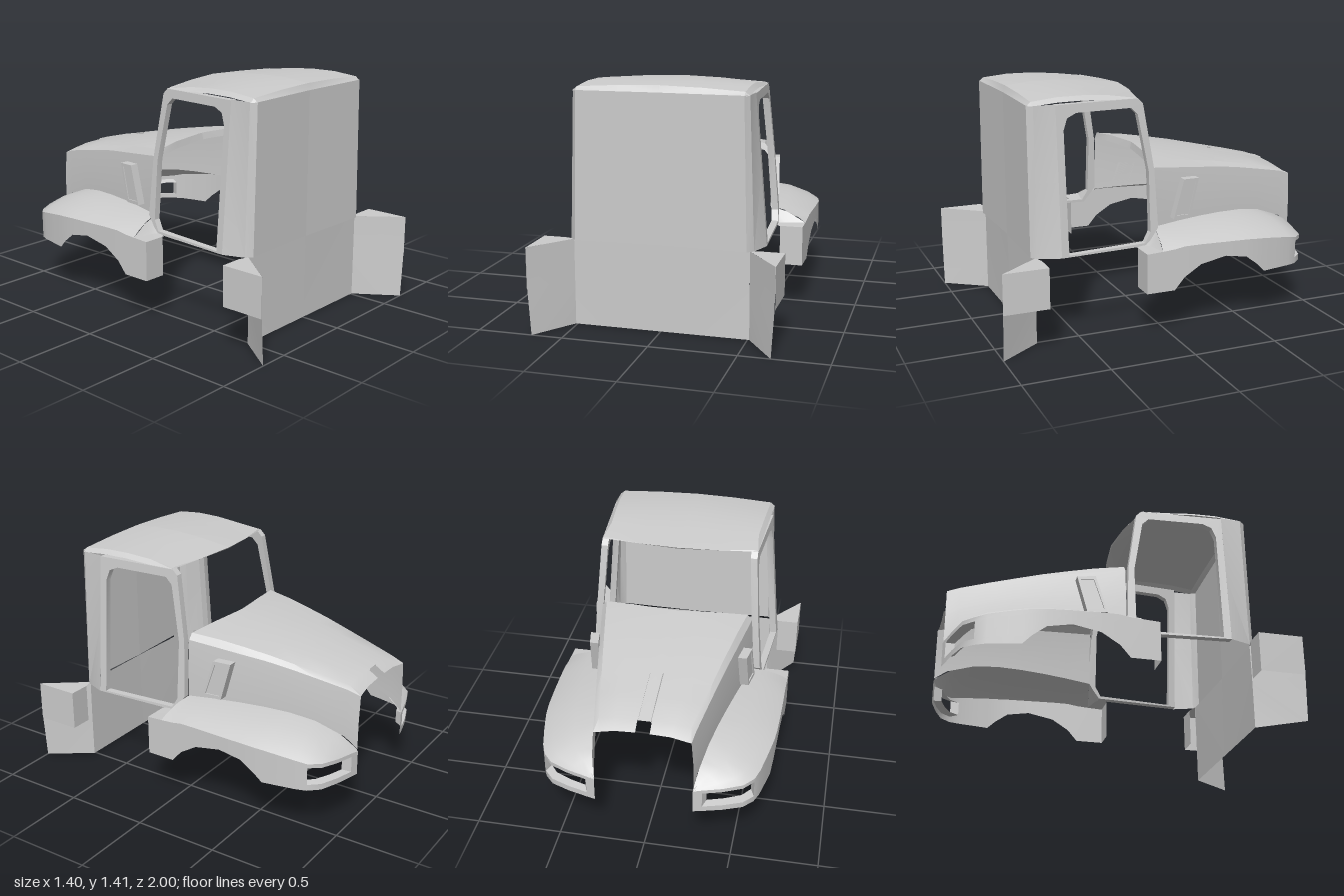
import * as THREE from 'three';
import { toCreasedNormals } from 'three/addons/utils/BufferGeometryUtils.js';

const material = new THREE.MeshStandardMaterial({ color: 0xcccccc, side: THREE.DoubleSide });

// Skin a grid of [x, y, z] rows; skip(i, j) leaves a quad open
function loft(rows, skip = () => false) {
  const pos = [];
  for (let i = 0; i < rows.length - 1; i++) {
    for (let j = 0; j < rows[i].length - 1; j++) {
      if (skip(i, j)) continue;
      const a = rows[i][j], b = rows[i][j + 1], c = rows[i + 1][j + 1], d = rows[i + 1][j];
      pos.push(...a, ...b, ...c, ...a, ...c, ...d);
    }
  }
  const geo = new THREE.BufferGeometry();
  geo.setAttribute('position', new THREE.Float32BufferAttribute(pos, 3));
  geo.computeVertexNormals();
  return toCreasedNormals(geo, 0.5);
}

// Extrude a (z, y) outline, then bend it onto a side surface xAt(z, y)
function sidePanel(outline, hole, depth, xAt) {
  const shape = new THREE.Shape(outline.map(([z, y]) => new THREE.Vector2(z, y)));
  if (hole) shape.holes.push(new THREE.Path(hole.map(([z, y]) => new THREE.Vector2(z, y))));
  const geo = new THREE.ExtrudeGeometry(shape, { depth: Math.abs(depth), bevelEnabled: false });
  const p = geo.attributes.position;
  for (let i = 0; i < p.count; i++) {
    const z = p.getX(i), y = p.getY(i), d = p.getZ(i) * Math.sign(depth);
    p.setXYZ(i, xAt(z, y) + d, y, z);
  }
  geo.computeVertexNormals();
  return toCreasedNormals(geo, 0.5);
}

// Read a value from a table whose keys fall
function table(keys, values, k) {
  if (k >= keys[0]) return values[0];
  for (let i = 1; i < keys.length; i++) {
    if (k >= keys[i]) return THREE.MathUtils.mapLinear(k, keys[i - 1], keys[i], values[i - 1], values[i]);
  }
  return values[values.length - 1];
}

const hoodZ = [0.02, -0.15, -0.3, -0.45, -0.6, -0.75, -0.92, -0.985];
const hoodTop = [0.995, 0.98, 0.958, 0.933, 0.902, 0.87, 0.83, 0.79];
const hoodBevel = [0.94, 0.92, 0.902, 0.885, 0.86, 0.83, 0.795, 0.77];
const hoodFoot = [0.59, 0.6, 0.605, 0.605, 0.598, 0.575, 0.51, 0.45];
const hoodX = (z) => 0.47 + 0.19 * z;
const cabX = (z, y) => 0.575 - 0.07 * (y - 0.5) / 0.85 - (0.62 - z) * 0.07;

export function createModel() {
  const group = new THREE.Group();
  const half = (name, geo) => {
    for (const s of [1, -1]) {
      const mesh = new THREE.Mesh(geo, material);
      mesh.name = name + (s > 0 ? 'Left' : 'Right');
      mesh.scale.x = s;
      group.add(mesh);
    }
  };

  // Hood: gently crowned top, bevelled shoulder, upright side, centre notch at the nose
  const hoodRows = hoodZ.map((z, i) => {
    const x = hoodX(z), y = hoodTop[i], b = hoodBevel[i], f = hoodFoot[i];
    const back = i === 0 ? -0.06 : 0, nose = i === 7 ? -0.012 : 0;
    return [
      [0, y, z + back], [0.04, y, z + back * 0.95], [x * 0.55, y - 0.005, z + back * 0.5],
      [x - 0.04, y - 0.02, z + nose * 0.5], [x - 0.012, b, z + nose],
      [x, (b + f) / 2, z + nose], [x, f, z + nose],
    ];
  });
  half('hood', loft(hoodRows, (i, j) => i === 6 && j === 0));

  // Lip under the windshield
  const lip = hoodRows[0].slice(0, 5);
  half('cowlLip', loft([lip, lip.map(([x, y, z]) => [x, y - 0.04, z + 0.01])]));

  // Raised strip along the hood centre
  const strip = [-0.58, -0.75, -0.93].map((z) => {
    const y = table(hoodZ, hoodTop, z);
    return [[0, y + 0.008, z], [0.035, y + 0.008, z], [0.04, y - 0.005, z]];
  });
  half('hoodStrip', loft(strip));

  // Slanted air scoop on each hood side
  half('hoodScoop', sidePanel([[-0.1, 0.64], [-0.17, 0.855], [-0.265, 0.85], [-0.205, 0.63]],
    null, 0.045, (z) => hoodX(z)));
  half('scoopFrame', sidePanel([[-0.095, 0.63], [-0.165, 0.86], [-0.27, 0.855], [-0.21, 0.625]],
    [[-0.115, 0.65], [-0.175, 0.84], [-0.25, 0.838], [-0.2, 0.645]], 0.052, (z) => hoodX(z)));

  // Fender stations: outer x, outer z, inner z, crease y, bottom y
  const stations = [
    [0.695, 0.06, 0.02, 0.51, 0.27], [0.695, -0.015, -0.015, 0.515, 0.27],
    [0.695, -0.075, -0.075, 0.525, 0.34], [0.695, -0.18, -0.15, 0.525, 0.405],
    [0.693, -0.34, -0.3, 0.52, 0.435], [0.688, -0.48, -0.45, 0.515, 0.41],
    [0.68, -0.56, -0.53, 0.508, 0.35], [0.671, -0.61, -0.6, 0.503, 0.3],
    [0.655, -0.69, -0.67, 0.492, 0.3], [0.63, -0.8, -0.75, 0.475, 0.298],
    [0.605, -0.86, -0.8, 0.46, 0.295], [0.55, -0.92, -0.85, 0.455, 0.295],
    [0.44, -0.96, -0.9, 0.445, 0.292], [0.33, -0.988, -0.96, 0.44, 0.29],
    [0.28, -1.0, -0.99, 0.435, 0.29],
  ];
  const fenderRows = stations.map(([x, z, zi, c, b]) => {
    const xi = hoodX(zi), f = table(hoodZ, hoodFoot, zi);
    const top = [0, 0.4, 0.8].map((t) => [
      xi + (x - xi) * t, f + (c - f) * t * t * 0.85 - 0.01 * t, zi + (z - zi) * t]);
    return [...top, ...[0, 0.15, 0.78, 1].map((t) => [x, c + (b - c) * t, z])];
  });
  const lampStart = 10, lampEnd = 13;
  half('fender', loft(fenderRows, (i, j) => j === 4 && i >= lampStart && i < lampEnd));

  // Headlight surround running inward from the opening
  const lampRows = fenderRows.slice(lampStart, lampEnd + 1);
  const rim = [...lampRows.map((r) => r[4]), ...lampRows.map((r) => r[5]).reverse(), lampRows[0][4]];
  half('headlightSurround', loft([rim, rim.map(([x, y, z]) => [
    0.46 + (x - 0.46) * 0.85, 0.37 + (y - 0.37) * 0.8, z + 0.05])]));

  // Step behind the fender, with the sloped end of the fender above it
  half('stepSide', loft([
    [[0.695, 0.51, 0.06], [0.695, 0.27, 0.06]],
    [[0.695, 0.505, 0.157], [0.695, 0.27, 0.157]],
    [[0.56, 0.505, 0.157], [0.56, 0.27, 0.157]],
  ]));
  half('stepTop', loft([
    [[0.474, 0.59, 0.02], [0.584, 0.565, 0.04], [0.695, 0.51, 0.06]],
    [[0.53, 0.508, 0.1], [0.58, 0.508, 0.08], [0.695, 0.51, 0.06]],
    [[0.55, 0.505, 0.157], [0.6, 0.505, 0.157], [0.695, 0.505, 0.157]],
  ]));

  // Door frame with rounded opening, slanted front pillar and sill
  half('doorFrame', sidePanel(
    [[0.62, 0.505], [0.62, 1.35], [0.12, 1.35], [0.09, 1.32], [0.03, 0.94], [0.015, 0.6], [0.09, 0.503]],
    [[0.575, 0.515], [0.578, 1.21], [0.555, 1.275], [0.5, 1.3], [0.165, 1.3], [0.125, 1.26],
      [0.065, 0.93], [0.065, 0.58], [0.1, 0.52]], -0.04, cabX));

  // Rear wall, wrapped around the cab corners
  half('rearWall', loft([
    [[0, 0, 0.755], [0.51, 0, 0.755]],
    [[0, 0.505, 0.762], [0.51, 0.505, 0.755]],
  ]));
  half('cabBack', loft([0, 0.5, 1].map((t) => {
    const y = 0.505 + 0.85 * t;
    return [[0, y, 0.765], [0.495 - 0.02 * t, y, 0.777], [0.53 - 0.03 * t, y, 0.745],
      [0.575 - 0.07 * t, y, 0.62]];
  })));

  // Roof with rounded rim and a visor that comes to a point in the middle
  const roofRows = [
    [0.777, 1.355, 0.475, 0], [0.75, 1.393, 0.475, 0], [0.6, 1.408, 0.47, 0], [0.43, 1.408, 0.462, 0.2],
    [0.25, 1.396, 0.452, 0.5], [0.05, 1.37, 0.445, 1], [0.055, 1.362, 0.445, 1], [0.13, 1.342, 0.445, 0.3],
  ].map(([z, y, w, bow], i) => {
    const zAt = (x) => z + bow * 0.075 * (x / 0.46) ** 1.6 - (i === 0 ? 0.012 * (1 - x / w) : 0);
    const drop = i === 0 || i > 5 ? 0.004 : 0.02;
    const rimY = Math.min(1.352, y - 0.01);
    return [[0, y, zAt(0)], [w * 0.5, y - drop * 0.3, zAt(w * 0.5)], [w, y - drop, zAt(w)],
      [w + 0.025, Math.max(rimY, y - 0.045), Math.min(zAt(w), 0.75)]];
  });
  half('roof', loft(roofRows));

  // Rear flares angled out from the wall
  half('rearFlare', loft([
    [[0.51, 0.505, 0.752], [0.698, 0.505, 1]],
    [[0.51, 0.27, 0.755], [0.697, 0.27, 1]],
    [[0.51, 0, 0.755], [0.68, 0, 1]],
  ]));

  // Box in front of each flare: outer side, front and top
  half('flareBox', loft([
    [[0.7, 0.505, 1], [0.7, 0.27, 1]],
    [[0.7, 0.505, 0.735], [0.7, 0.27, 0.735]],
    [[0.57, 0.505, 0.735], [0.57, 0.27, 0.735]],
  ]));
  half('flareTop', loft([
    [[0.51, 0.505, 0.752], [0.7, 0.505, 1]],
    [[0.57, 0.505, 0.735], [0.7, 0.505, 0.735]],
  ]));

  return group;
}
